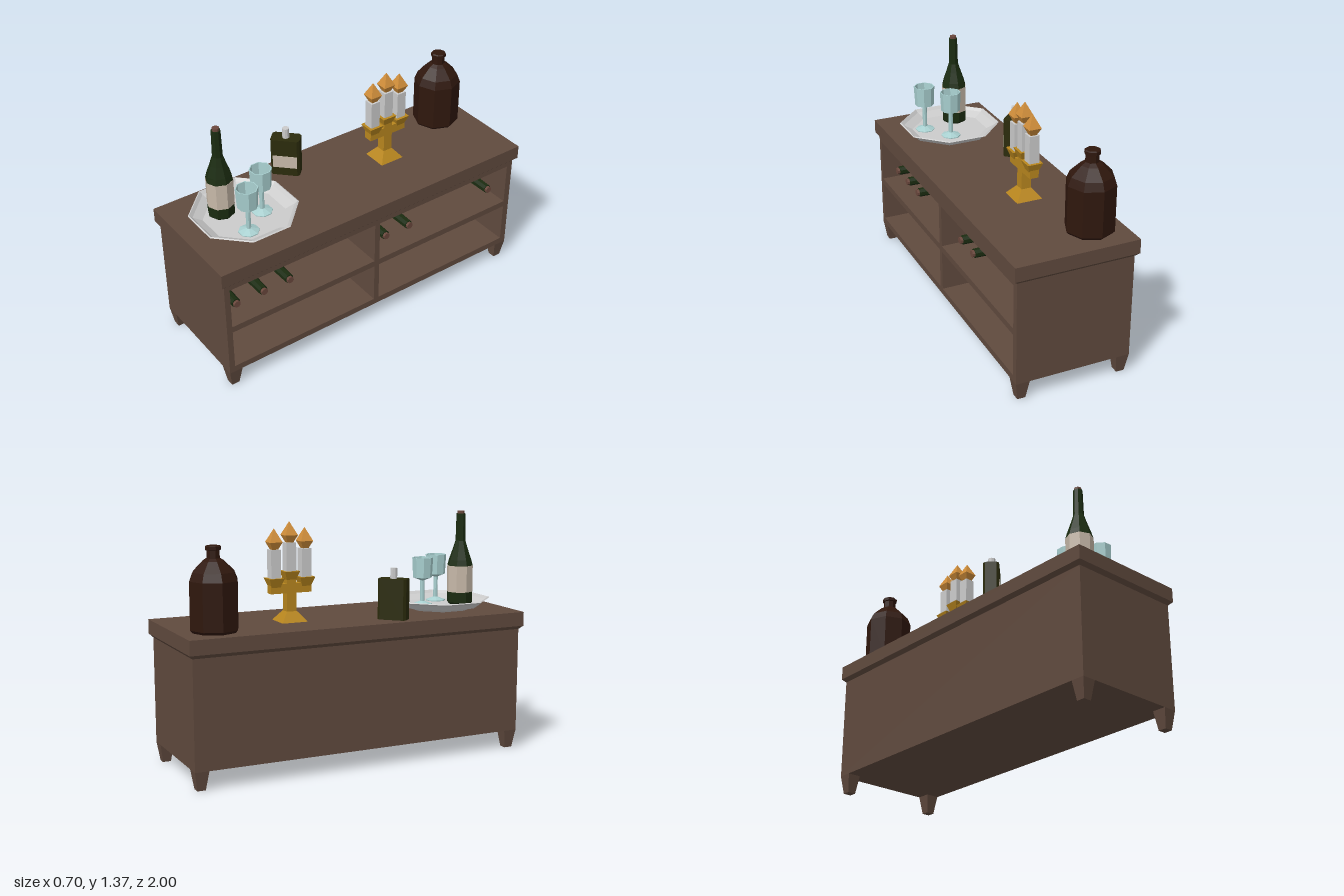
import * as THREE from 'three';

const mat = (color, side = THREE.FrontSide) =>
  new THREE.MeshStandardMaterial({ color, flatShading: true, side });

const V = (pts) => pts.map(([x, y]) => new THREE.Vector2(x, y));

function add(parent, name, geo, material, x = 0, y = 0, z = 0) {
  const m = new THREE.Mesh(geo, material);
  m.name = name;
  m.position.set(x, y, z);
  parent.add(m);
  return m;
}

function group(parent, name, x = 0, y = 0, z = 0) {
  const g = new THREE.Group();
  g.name = name;
  g.position.set(x, y, z);
  parent.add(g);
  return g;
}

// Eight-sided turned shape; profile runs from bottom to top
const turned = (pts, start = 0) => new THREE.LatheGeometry(V(pts), 8, start);

// Box standing on y = 0 whose top is w1 x d1 and bottom is w0 x d0
function taper(w0, d0, w1, d1, h) {
  const g = new THREE.BoxGeometry(1, h, 1).translate(0, h / 2, 0);
  const p = g.attributes.position;
  for (let i = 0; i < p.count; i++) {
    const top = p.getY(i) > h / 2;
    p.setX(i, p.getX(i) * (top ? w1 : w0));
    p.setZ(i, p.getZ(i) * (top ? d1 : d0));
  }
  g.computeVertexNormals();
  return g;
}

function rect(target, x0, y0, x1, y1) {
  target.moveTo(x0, y0);
  target.lineTo(x1, y0);
  target.lineTo(x1, y1);
  target.lineTo(x0, y1);
  target.closePath();
  return target;
}

function cabinet(root, wood) {
  const g = group(root, 'cabinet');
  // Body with four open compartments facing +x
  const face = rect(new THREE.Shape(), -0.98, 0.105, 0.98, 0.7);
  for (const [a, b] of [[-0.947, -0.02], [0.013, 0.942]])
    for (const [c, d] of [[0.142, 0.383], [0.42, 0.67]])
      face.holes.push(rect(new THREE.Path(), a, c, b, d));
  const body = new THREE.ExtrudeGeometry(face, { depth: 0.63, bevelEnabled: false });
  body.rotateY(Math.PI / 2);
  add(g, 'shelfBody', body, wood, -0.3);
  add(g, 'backPanel', new THREE.BoxGeometry(0.03, 0.595, 1.96), wood, -0.315, 0.4025);
  // Top board with bevelled underside
  add(g, 'topBevel', taper(0.66, 1.96, 0.7, 2, 0.02), wood, 0, 0.7);
  add(g, 'topBoard', new THREE.BoxGeometry(0.7, 0.08, 2), wood, 0, 0.76);
  for (const sx of [-1, 1])
    for (const sz of [-1, 1])
      add(g, 'leg', taper(0.046, 0.046, 0.078, 0.078, 0.105), wood, sx * 0.291, 0, sz * 0.941);
}

function wineBottle(parent, name, green, label, cork, start = 0) {
  const g = group(parent, name);
  add(g, 'bottleGlass', turned([[0, 0], [0.066, 0], [0.074, 0.01], [0.074, 0.225], [0.066, 0.255],
    [0.045, 0.315], [0.029, 0.365], [0.026, 0.52], [0, 0.52]], start), green);
  add(g, 'bottleLabel', turned([[0.0745, 0.07], [0.0755, 0.07], [0.0755, 0.222], [0.0745, 0.222]], start), label);
  add(g, 'cork', turned([[0.02, 0.51], [0.02, 0.535], [0, 0.535]], start), cork);
  return g;
}

function wineGlass(parent, glass, x, z) {
  const g = group(parent, 'wineGlass', x, 0.82, z);
  const s = Math.PI / 8;
  add(g, 'glassFoot', turned([[0, 0], [0.057, 0], [0.057, 0.005], [0.013, 0.022]], s), glass);
  add(g, 'glassStem', turned([[0.013, 0.015], [0.013, 0.15]], s), glass);
  add(g, 'glassCup', turned([[0.013, 0.143], [0.055, 0.16], [0.061, 0.275],
    [0.056, 0.275], [0.048, 0.168], [0, 0.158]], s), glass);
}

function flask(root, glass, label, metal) {
  const g = group(root, 'flask', -0.23, 0.8, 0.22);
  g.rotation.y = Math.PI / 4;
  // Flat body with cut corners
  const a = 0.081, b = 0.044, c = 0.013;
  const plan = new THREE.Shape(V([[a - c, -b], [a, c - b], [a, b - c], [a - c, b],
    [c - a, b], [-a, b - c], [-a, c - b], [c - a, -b]]));
  const body = new THREE.ExtrudeGeometry(plan, { depth: 0.225, bevelEnabled: false });
  body.rotateX(-Math.PI / 2);
  add(g, 'flaskBody', body, glass);
  add(g, 'flaskLabel', new THREE.BoxGeometry(2 * (a - c), 0.075, 0.002), label, 0, 0.0875, b + 0.0005);
  add(g, 'flaskCap', new THREE.CylinderGeometry(0.02, 0.02, 0.06, 8), metal, 0, 0.254, 0);
}

function candelabra(root, gold, wax, fire) {
  const g = group(root, 'candelabra', -0.03, 0.8, -0.315);
  add(g, 'foot', taper(0.148, 0.148, 0.06, 0.06, 0.055), gold);
  add(g, 'column', taper(0.055, 0.055, 0.055, 0.055, 0.2), gold, 0, 0.05);
  add(g, 'crossArm', new THREE.BoxGeometry(0.052, 0.052, 0.24), gold, 0, 0.182);
  for (const [z, y] of [[-0.09, 0], [0, 0.035], [0.09, 0]]) {
    const c = group(g, 'candleHolder', 0, y, z);
    add(c, 'candleCup', taper(0.052, 0.052, 0.088, 0.088, 0.05), gold, 0, 0.19);
    add(c, 'candle', taper(0.057, 0.057, 0.057, 0.057, 0.155), wax, 0, 0.24);
    add(c, 'flameBase', taper(0.032, 0.032, 0.072, 0.072, 0.042), fire, 0, 0.393);
    add(c, 'flameTip', taper(0.072, 0.072, 0.001, 0.001, 0.073), fire, 0, 0.435);
  }
}

export function createModel() {
  const root = new THREE.Group();
  root.name = 'sideboard';
  const wood = mat(0x604a3e), green = mat(0x1a2b10), label = mat(0xc6b8a8), cork = mat(0x6a473c);
  const metal = mat(0xcccccc), glass = mat(0xa9d0d0, THREE.DoubleSide);

  cabinet(root, wood);

  // Bottles lying in the upper compartments, necks towards the opening
  for (const z of [0.87, 0.7, 0.535, -0.115, -0.28, -0.875]) {
    const b = wineBottle(root, 'lyingBottle', green, label, cork, Math.PI / 8);
    b.rotation.z = -Math.PI / 2;
    b.position.set(-0.27, 0.492, z);
  }

  // Eight-sided tray with its bottle and glasses
  const tray = group(root, 'servingTray', 0, 0, 0.645);
  const k = 1 / Math.cos(Math.PI / 8);
  add(tray, 'tray', turned([[0, 0.801], [0.17 * k, 0.801], [0.275 * k, 0.858], [0.268 * k, 0.862],
    [0.228 * k, 0.82], [0, 0.82]], Math.PI / 8), mat(0xcccccc, THREE.DoubleSide));
  wineBottle(root, 'standingBottle', green, label, cork).position.set(-0.072, 0.83, 0.74);
  wineGlass(root, glass, 0.03, 0.55);
  wineGlass(root, glass, 0.135, 0.7);

  flask(root, mat(0x2b2b0c), label, metal);
  candelabra(root, mat(0xb8861e), metal, mat(0xd08e3a));

  // Large round jug
  add(root, 'jug', turned([[0, 0], [0.12, 0], [0.133, 0.015], [0.133, 0.27], [0.115, 0.315], [0.06, 0.37],
    [0.037, 0.385], [0.035, 0.425], [0.043, 0.428], [0.043, 0.445], [0.036, 0.45], [0, 0.45]]),
    mat(0x2f170d), -0.165, 0.8, -0.8);
  return root;
}
